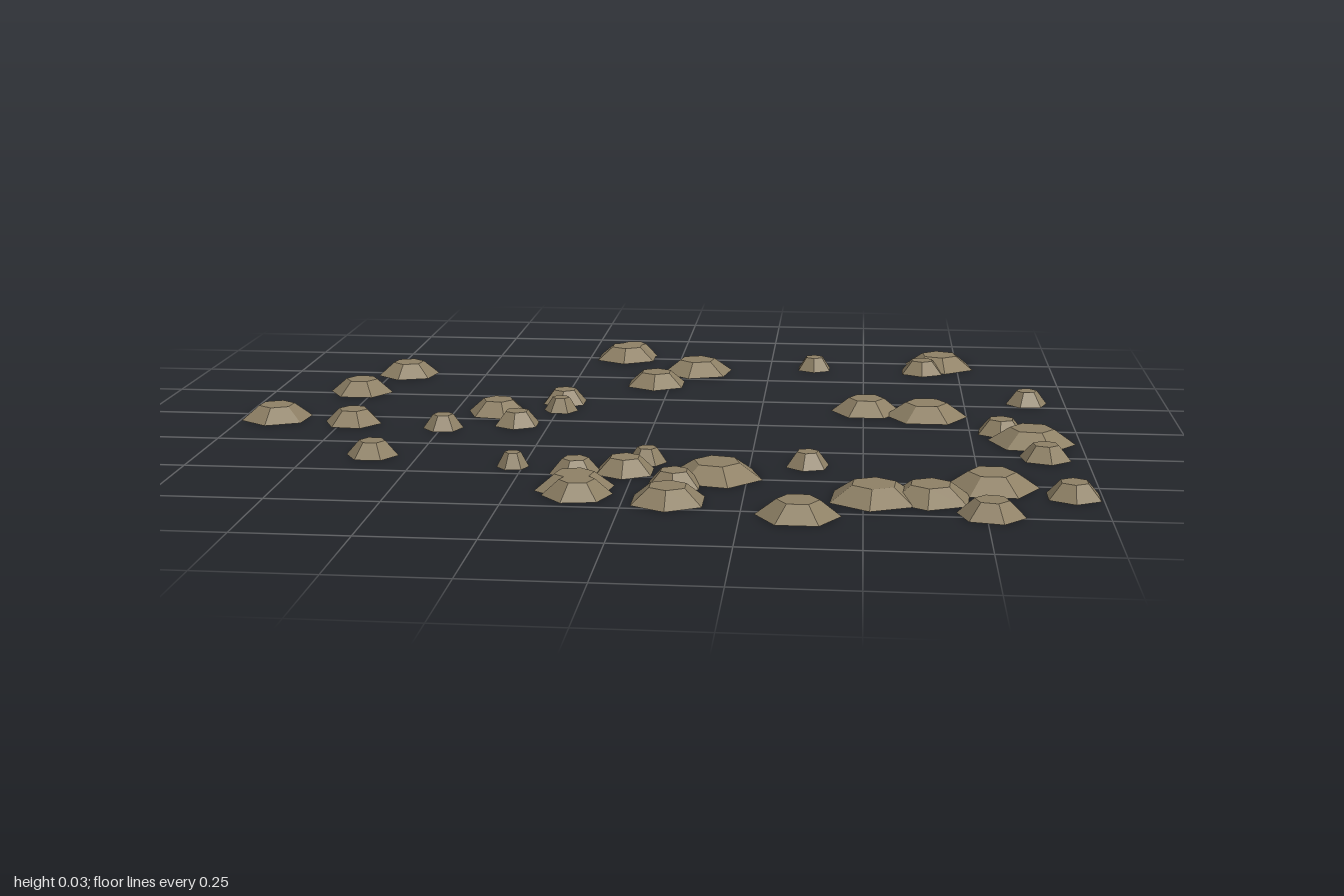
import * as THREE from 'three';

// Scattered low hexagonal pebbles, open underneath
const HEIGHT = 0.034;
const TOP_RATIO = 0.5;

// x, z, radius, clockwise turn in degrees (seen from above)
const BACK = [
  [-0.15, -0.76, 0.088, 0], [-0.135, -0.79, 0.067, 30], [0.057, -0.597, 0.096, 10],
  [-0.037, -0.43, 0.081, 0], [0.368, -0.658, 0.048, 0], [0.703, -0.72, 0.096, -8],
  [0.655, -0.643, 0.06, 0], [-0.705, -0.49, 0.08, 10], [-0.78, -0.27, 0.08, 30],
  [-0.245, -0.2, 0.058, 0], [-0.242, -0.11, 0.042, 30], [-0.392, -0.073, 0.076, -20],
  [0.905, -0.293, 0.052, 20], [0.507, -0.173, 0.086, 30], [0.652, -0.136, 0.1, 30],
];
const MIDDLE = [
  [-0.918, 0.035, 0.086, 5], [-0.722, 0.063, 0.07, -25], [-0.496, 0.098, 0.048, 20],
  [-0.327, 0.045, 0.057, 0], [0.888, 0.105, 0.101, -22], [0.823, 0.018, 0.06, 5],
  [0.907, 0.256, 0.06, -10],
];
const FRONT = [
  [-0.605, 0.367, 0.06, 30], [-0.272, 0.44, 0.036, 20], [0.02, 0.37, 0.045, 30],
  [-0.127, 0.48, 0.058, 15], [-0.02, 0.458, 0.07, 0], [0.183, 0.478, 0.104, -17],
  [0.097, 0.56, 0.064, 0], [0.095, 0.687, 0.086, 0], [-0.112, 0.605, 0.088, 10],
  [-0.1, 0.655, 0.076, 20], [0.377, 0.372, 0.05, 10], [0.368, 0.768, 0.089, 30],
  [0.522, 0.628, 0.101, 5], [0.64, 0.618, 0.092, 5], [0.773, 0.51, 0.102, 30],
  [0.76, 0.73, 0.072, -18], [0.94, 0.574, 0.063, 0],
];

export function createModel() {
  const model = new THREE.Group();
  model.name = 'scatteredPebbles';
  const stone = new THREE.MeshStandardMaterial({ color: 0x8f8166, flatShading: true, side: THREE.DoubleSide });
  stone.name = 'stone';

  // Sloped sides and a flat top, unit base radius
  const pebbleShape = new THREE.LatheGeometry([
    new THREE.Vector2(1, 0),
    new THREE.Vector2(TOP_RATIO, HEIGHT),
    new THREE.Vector2(0, HEIGHT),
  ], 6);

  const addCluster = (name, pebbles) => {
    const cluster = new THREE.Group();
    cluster.name = name;
    pebbles.forEach(([x, z, radius, turn], i) => {
      const pebble = new THREE.Mesh(pebbleShape, stone);
      pebble.name = `pebble${i + 1}`;
      pebble.position.set(x, 0, z);
      pebble.scale.set(radius, 1, radius);
      pebble.rotation.y = -THREE.MathUtils.degToRad(turn);
      cluster.add(pebble);
    });
    model.add(cluster);
  };
  addCluster('backPebbles', BACK);
  addCluster('middlePebbles', MIDDLE);
  addCluster('frontPebbles', FRONT);
  return model;
}
